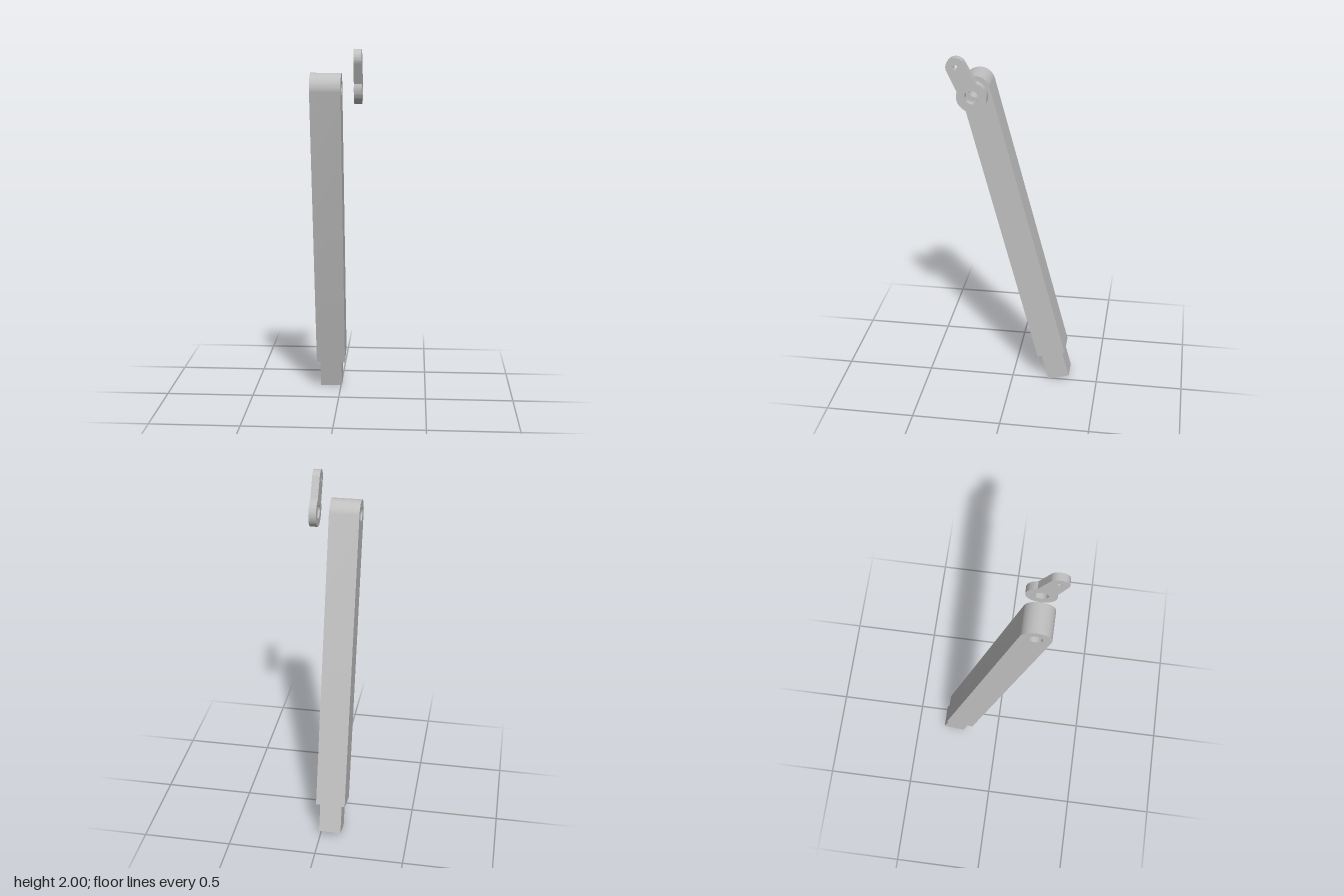
import * as THREE from 'three';
import { toCreasedNormals } from 'three/addons/utils/BufferGeometryUtils.js';

const PIVOT = { y: 1.788, z: 0.2 };
const R = 0.082;          // radius of the rounded bar end and lever hub
const HOLE = 0.037;

const grey = new THREE.MeshStandardMaterial({ color: 0xc0c0c0 });
grey.name = 'light grey';

function addHole(shape, x, y, r) {
  const hole = new THREE.Path();
  hole.absarc(x, y, r, 0, Math.PI * 2, true);
  shape.holes.push(hole);
}

// Side profile (shape x = model z, shape y = model y) extruded from x0 to x1
function plate(name, shape, x0, x1) {
  const geo = new THREE.ExtrudeGeometry(shape, { depth: x1 - x0, bevelEnabled: false, curveSegments: 32 });
  geo.rotateY(-Math.PI / 2);
  geo.translate(x1, 0, 0);
  const mesh = new THREE.Mesh(toCreasedNormals(geo, 0.5), grey);
  mesh.name = name;
  return mesh;
}

export function createModel() {
  const model = new THREE.Group();
  model.name = 'pivotingArm';

  // Leaning arm, built upright below the pivot and tilted about it
  const arm = new THREE.Group();
  arm.name = 'arm';
  arm.position.set(0, PIVOT.y, PIVOT.z);
  arm.rotation.x = THREE.MathUtils.degToRad(15);
  model.add(arm);

  // Bar with rounded, bored top
  const bar = new THREE.Shape();
  bar.moveTo(-R, -1.665);
  bar.lineTo(R, -1.665);
  bar.lineTo(R, 0);
  bar.absarc(0, 0, R, 0, Math.PI, false);
  bar.closePath();
  addHole(bar, 0, 0, HOLE);
  arm.add(plate('bar', bar, -0.139, 0.027));

  // Square stub at the lower end
  const stub = new THREE.Mesh(new THREE.BoxGeometry(0.125, 0.191, 0.125), grey);
  stub.name = 'stub';
  stub.position.set(-0.057, -1.7405, 0);
  arm.add(stub);

  // Lever: hub with a narrower rounded arm, drawn upright then tilted
  const reach = 0.179, tip = 0.052, root = 0.056;
  const a = Math.acos(root / R);
  const lever = new THREE.Shape();
  lever.absarc(0, 0, R, Math.PI - a, Math.PI * 2 + a, false);
  lever.lineTo(tip, reach);
  lever.absarc(0, reach, tip, 0, Math.PI, false);
  lever.closePath();
  addHole(lever, 0, 0, HOLE);
  addHole(lever, 0, reach, 0.012);
  const leverMesh = plate('lever', lever, 0.097, 0.139);
  leverMesh.position.set(0, PIVOT.y, PIVOT.z);
  leverMesh.rotation.x = Math.atan2(0.083, 0.159);
  model.add(leverMesh);

  return model;
}
